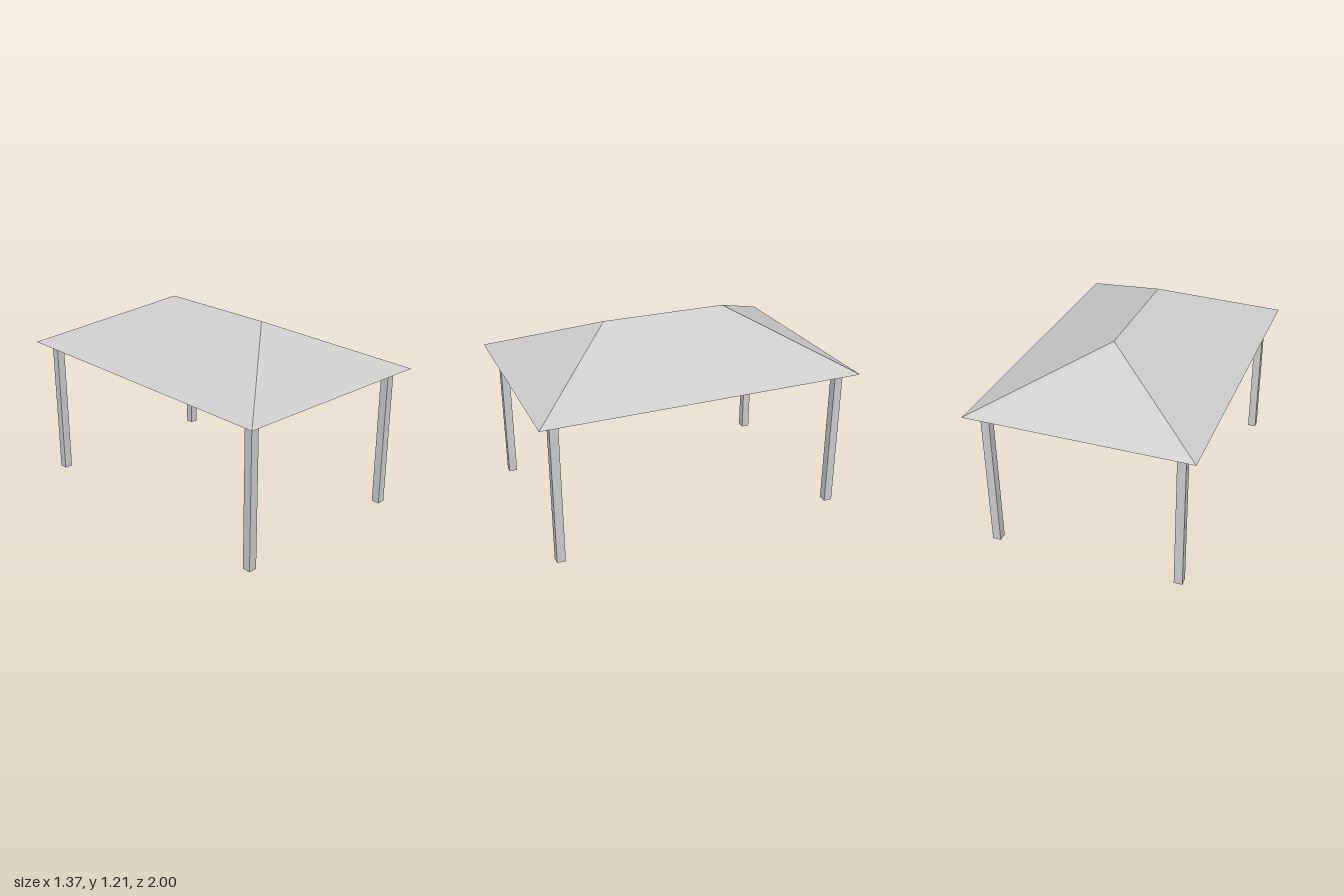
import * as THREE from 'three';

const HALF_W = 0.685, HALF_L = 1, EAVE = 0.903, RIDGE = 1.21, RIDGE_HALF = 0.395;
const POST = 0.052, POST_X = 0.584, POST_Z = 0.9;

// Flat polygon (convex, counter-clockwise from outside) as a triangle fan
function panel(name, corners, material) {
  const points = [];
  for (let i = 1; i < corners.length - 1; i++) {
    points.push(...corners[0], ...corners[i], ...corners[i + 1]);
  }
  const geometry = new THREE.BufferGeometry();
  geometry.setAttribute('position', new THREE.Float32BufferAttribute(points, 3));
  geometry.computeVertexNormals();
  const mesh = new THREE.Mesh(geometry, material);
  mesh.name = name;
  return mesh;
}

export function createModel() {
  const model = new THREE.Group();
  model.name = 'pavilion';

  const grey = new THREE.MeshStandardMaterial({ color: 0xcccccc, side: THREE.DoubleSide });
  grey.name = 'light grey';

  // Hip roof, an open thin shell; each end and side is turned half a circle for its twin
  const roof = new THREE.Group();
  roof.name = 'roof';
  for (const s of [1, -1]) {
    const end = [
      [-s * HALF_W, EAVE, s * HALF_L],
      [s * HALF_W, EAVE, s * HALF_L],
      [0, RIDGE, s * RIDGE_HALF],
    ];
    const side = [
      [s * HALF_W, EAVE, s * HALF_L],
      [s * HALF_W, EAVE, -s * HALF_L],
      [0, RIDGE, -s * RIDGE_HALF],
      [0, RIDGE, s * RIDGE_HALF],
    ];
    roof.add(panel(s > 0 ? 'frontRoofEnd' : 'backRoofEnd', end, grey));
    roof.add(panel(s > 0 ? 'leftRoofSlope' : 'rightRoofSlope', side, grey));
  }
  model.add(roof);

  // Square corner posts
  const postGeometry = new THREE.BoxGeometry(POST, EAVE, POST);
  for (const x of [1, -1]) {
    for (const z of [1, -1]) {
      const post = new THREE.Mesh(postGeometry, grey);
      post.name = (z > 0 ? 'front' : 'back') + (x > 0 ? 'Left' : 'Right') + 'Post';
      post.position.set(x * POST_X, EAVE / 2, z * POST_Z);
      model.add(post);
    }
  }
  return model;
}
